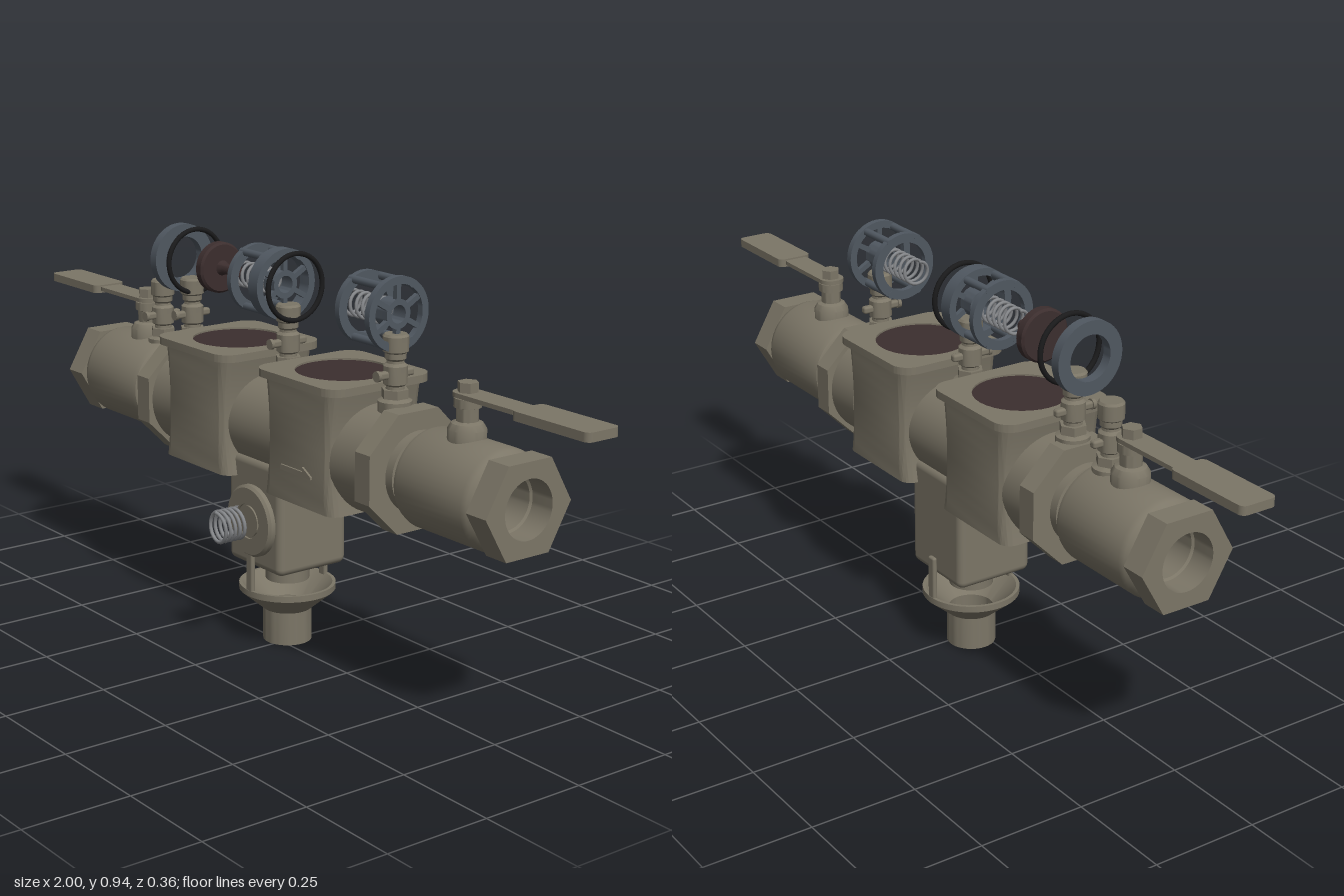
import * as THREE from 'three';
import { toCreasedNormals } from 'three/addons/utils/BufferGeometryUtils.js';
import { RoundedBoxGeometry } from 'three/addons/geometries/RoundedBoxGeometry.js';

const mat = (name, color, side = THREE.FrontSide) => {
  const m = new THREE.MeshStandardMaterial({ color, side });
  m.name = name;
  return m;
};

export function createModel() {
  const bronze = mat('bronze', 0x7c7667);
  const slate = mat('slate', 0x505861);
  const black = mat('black', 0x1a1a1b);
  const maroon = mat('dark maroon', 0x3c2e2e);
  const steel = mat('spring steel', 0x85878a);

  const root = new THREE.Group();
  root.name = 'backflowValve';
  const assembly = new THREE.Group();
  assembly.name = 'assembly';
  assembly.position.z = -0.03;
  root.add(assembly);

  const add = (parent, name, geo, material, x = 0, y = 0, z = 0) => {
    const m = new THREE.Mesh(geo, material);
    m.name = name;
    m.position.set(x, y, z);
    parent.add(m);
    return m;
  };
  const group = (parent, name, x = 0, y = 0, z = 0) => {
    const g = new THREE.Group();
    g.name = name;
    g.position.set(x, y, z);
    parent.add(g);
    return g;
  };

  // Profiles are [radius, height]; the X versions turn the axis along x
  const lathe = (pts, seg = 48) =>
    toCreasedNormals(new THREE.LatheGeometry(pts.map(p => new THREE.Vector2(p[0], p[1])), seg), 0.6);
  const latheX = (pts, seg) => lathe(pts, seg).rotateZ(-Math.PI / 2);
  const rodX = (r, len, seg = 24) => new THREE.CylinderGeometry(r, r, len, seg).rotateZ(-Math.PI / 2);
  const prism = (r, h, sides) => toCreasedNormals(new THREE.CylinderGeometry(r, r, h, sides), 0.3);
  const ringX = (ro, ri, len) => latheX([
    [ri, -len / 2], [ro, -len / 2], [ro, len / 2], [ri, len / 2], [ri, -len / 2]]);

  const roundedRect = (hx, hy, r) => {
    const s = new THREE.Shape();
    s.absarc(hx - r, hy - r, r, 0, Math.PI / 2);
    s.absarc(-hx + r, hy - r, r, Math.PI / 2, Math.PI);
    s.absarc(-hx + r, -hy + r, r, Math.PI, Math.PI * 1.5);
    s.absarc(hx - r, -hy + r, r, Math.PI * 1.5, Math.PI * 2);
    return s;
  };
  const circleHole = r => new THREE.Path().absarc(0, 0, r, 0, Math.PI * 2, true);
  const extrudeUp = (shape, h, steps = 1) => new THREE.ExtrudeGeometry(shape,
    { depth: h, steps, bevelEnabled: false, curveSegments: 16 }).rotateX(-Math.PI / 2);

  // Coil spring running along x from 0 to len
  const springX = (r, len, turns, wire) => {
    const pts = [];
    for (let i = 0; i <= turns * 14; i++) {
      const a = i / 14 * Math.PI * 2;
      pts.push(new THREE.Vector3(len * i / (turns * 14), r * Math.cos(a), r * Math.sin(a)));
    }
    return new THREE.TubeGeometry(new THREE.CatmullRomCurve3(pts), turns * 20, wire, 7);
  };

  const AXIS = 0.525, MID = -0.017;

  // Ball valve, union and lever, built for the +x end
  const endValve = name => {
    const g = group(assembly, name);
    const hex = new THREE.Shape();
    for (let i = 0; i < 6; i++) {
      const a = i * Math.PI / 3;
      hex[i ? 'lineTo' : 'moveTo'](0.118 * Math.cos(a), 0.118 * Math.sin(a));
    }
    hex.holes.push(circleHole(0.066));
    add(g, 'hexEnd', toCreasedNormals(new THREE.ExtrudeGeometry(hex,
      { depth: 0.06, bevelEnabled: false, curveSegments: 24 }).rotateY(Math.PI / 2), 0.4), bronze, 0.738, AXIS);
    add(g, 'ballValveBody', latheX([[0.088, 0.40], [0.088, 0.45], [0.092, 0.452], [0.092, 0.474], [0.082, 0.476],
      [0.082, 0.492], [0.1, 0.494], [0.109, 0.5], [0.113, 0.512], [0.113, 0.715], [0.109, 0.728], [0.1, 0.738],
      [0.066, 0.739], [0.061, 0.735], [0.061, 0.64], [0, 0.64]]), bronze, 0, AXIS);
    add(g, 'octagonUnion', prism(0.145, 0.05, 8).rotateY(Math.PI / 8).rotateZ(-Math.PI / 2), bronze, 0.425, AXIS);
    add(g, 'valveStem', lathe([[0.042, 0.62], [0.042, 0.655], [0.034, 0.668], [0.024, 0.672], [0.024, 0.7],
      [0.03, 0.702], [0.03, 0.722], [0, 0.722]], 32), bronze, 0.605);
    add(g, 'stemNut', prism(0.023, 0.035, 6), bronze, 0.605, 0.738);
    add(g, 'leverArm', extrudeUp(roundedRect(0.112, 0.03, 0.028), 0.01), bronze, 0.685, 0.724);
    add(g, 'leverGrip', extrudeUp(roundedRect(0.11, 0.044, 0.014), 0.02), bronze, 0.89, 0.718);
    return g;
  };
  endValve('leftEndValve');
  endValve('rightEndValve').rotation.y = Math.PI;

  // Main tube with wider ends
  add(assembly, 'mainTube', latheX([[0.124, -0.405], [0.124, -0.3], [0.112, -0.29], [0.112, 0.29],
    [0.124, 0.3], [0.124, 0.405]]), bronze, 0, AXIS);

  // Two check chambers with waisted sides, rim flange and dark opening
  for (const [name, x] of [['rightChamber', -0.213], ['leftChamber', 0.188]]) {
    const g = group(assembly, name, x, 0, 0);
    const h = 0.278;
    const body = extrudeUp(roundedRect(0.132, 0.13, 0.03), h, 10);
    const p = body.attributes.position;
    for (let i = 0; i < p.count; i++) {
      const t = 2 * p.getY(i) / h - 1;
      p.setX(i, p.getX(i) * (0.89 + 0.11 * t * t));
    }
    add(g, 'chamberBody', toCreasedNormals(body, 0.6), bronze, 0, 0.407);
    const rim = roundedRect(0.147, 0.147, 0.045);
    rim.holes.push(circleHole(0.108));
    add(g, 'chamberRim', toCreasedNormals(extrudeUp(rim, 0.018), 0.6), bronze, 0, 0.682);
    add(g, 'chamberOpening', new THREE.CylinderGeometry(0.108, 0.108, 0.008, 48), maroon, 0, 0.692);
  }

  // Raised flow arrow on the front of the left chamber
  const arrow = new THREE.Shape();
  [[-0.055, -0.009], [0.055, -0.009], [0.055, -0.003], [0.025, 0.014], [0.025, 0.003], [-0.055, 0.003]]
    .forEach((q, i) => arrow[i ? 'lineTo' : 'moveTo'](q[0], q[1]));
  add(assembly, 'flowArrow', new THREE.ExtrudeGeometry(arrow, { depth: 0.006, bevelEnabled: false }),
    bronze, 0.19, 0.488, 0.129);

  // Relief valve under the middle
  const relief = group(assembly, 'reliefValve', MID);
  add(relief, 'reliefBody', new RoundedBoxGeometry(0.204, 0.265, 0.198, 4, 0.018), bronze, 0, 0.328);
  add(relief, 'reliefCover', lathe([[0.086, 0], [0.086, 0.02], [0.08, 0.026], [0.042, 0.026], [0.042, 0.021],
    [0.037, 0.021], [0.037, 0.026], [0, 0.026]]).rotateX(Math.PI / 2), bronze, 0, 0.313, 0.09);
  add(relief, 'outletStub', new THREE.CylinderGeometry(0.052, 0.052, 0.06, 40), bronze, 0, 0.183);
  add(relief, 'drainFunnel', lathe([[0.052, 0], [0.058, 0], [0.058, 0.08], [0.115, 0.128], [0.115, 0.143],
    [0.107, 0.143], [0.052, 0.088], [0.052, 0]]), bronze);
  for (const s of [1, -1])
    add(relief, 'funnelArm', new RoundedBoxGeometry(0.024, 0.112, 0.012, 2, 0.005), bronze, 0, 0.19, s * 0.108);
  add(relief, 'reliefSpring', springX(0.036, 0.066, 5, 0.0045).rotateY(-Math.PI / 2), steel, 0, 0.315, 0.14);

  // Test cocks
  const cocks = [[-0.405, 0.655], [-0.535, 0.63], [-0.015, 0.655], [0.37, 0.655]];
  for (const [x, y] of cocks) {
    const g = group(assembly, 'testCock', x, y);
    add(g, 'cockBody', lathe([[0.038, -0.03], [0.038, 0.012], [0.022, 0.018], [0.02, 0.045], [0.027, 0.05],
      [0.027, 0.09], [0.02, 0.096], [0.018, 0.11], [0, 0.11]], 24), bronze);
    add(g, 'cockNut', prism(0.031, 0.02, 6), bronze, 0, 0.028);
    add(g, 'cockCap', lathe([[0.018, 0.1], [0.024, 0.106], [0.024, 0.118], [0.029, 0.122], [0.029, 0.155],
      [0.025, 0.16], [0, 0.16]], 24), bronze);
    add(g, 'cockHandle', new RoundedBoxGeometry(0.018, 0.018, 0.098, 2, 0.006), bronze, 0, 0.071);
    add(g, 'cockHandleEnd', new THREE.CylinderGeometry(0.012, 0.012, 0.008, 16).rotateX(Math.PI / 2),
      bronze, 0, 0.071, 0.05);
  }

  // Check internals floating above, all on one axis
  const parts = group(assembly, 'checkInternals', 0, 0.858);
  add(parts, 'seatRing', ringX(0.083, 0.052, 0.024), slate, -0.449);
  for (const x of [-0.389, 0.012])
    add(parts, 'sealRing', new THREE.TorusGeometry(0.077, 0.006, 10, 48).rotateY(Math.PI / 2), black, x);
  add(parts, 'poppetDisc', latheX([[0, -0.303], [0.056, -0.303], [0.061, -0.298], [0.061, -0.28],
    [0.056, -0.275], [0.018, -0.275], [0.013, -0.262], [0.012, -0.215], [0, -0.215]]), maroon);

  // Spring cage: small front ring, four posts, spoked rear wheel
  const cage = (x, length, wheel) => {
    const g = group(parts, 'springCage', x);
    add(g, 'cageFrontRing', ringX(0.08, 0.058, 0.015), slate, 0.008);
    for (const a of [60, 120, 240, 300]) {
      const t = a * Math.PI / 180;
      add(g, 'cagePost', rodX(0.009, length, 12), slate, length / 2, 0.073 * Math.sin(t), 0.073 * Math.cos(t));
    }
    const w = length - wheel / 2;
    add(g, 'cageWheelRim', ringX(0.083, 0.066, wheel), slate, w);
    add(g, 'cageHub', ringX(0.033, 0.02, 0.04), slate, length - 0.022);
    for (let i = 0; i < 6; i++) {
      const spoke = new THREE.BoxGeometry(0.012, 0.045, 0.012).translate(0, 0.049, 0).rotateX(i * Math.PI / 3);
      add(g, 'cageSpoke', spoke, slate, length - 0.008);
    }
    add(g, 'cageSpring', springX(0.028, 0.15, 7, 0.004), steel, -0.06);
  };
  cage(-0.145, 0.122, 0.034);
  cage(0.258, 0.122, 0.016);

  return root;
}
